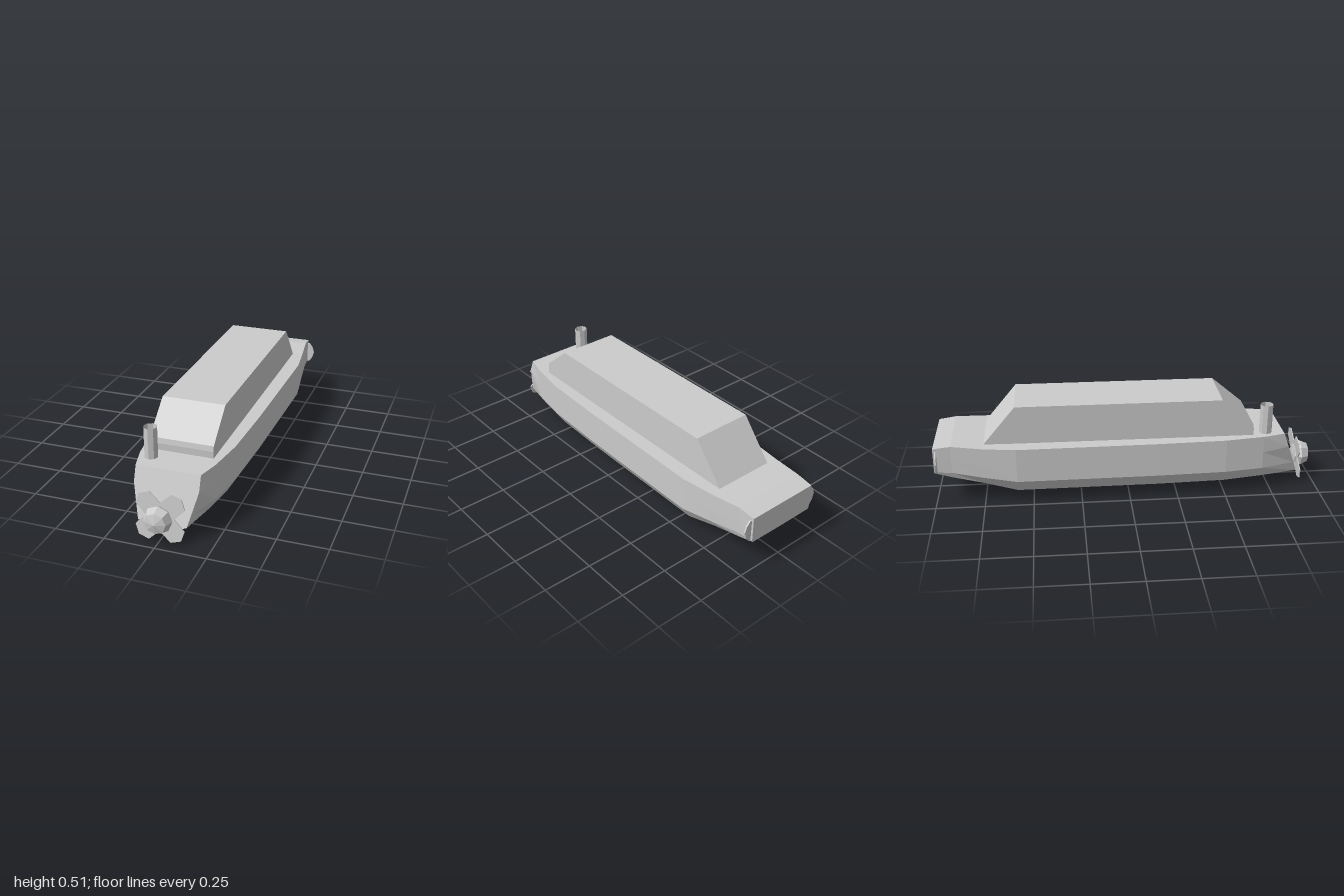
import * as THREE from 'three';

const grey = new THREE.MeshStandardMaterial({ color: 0xcccccc, flatShading: true });
const greyDouble = new THREE.MeshStandardMaterial({ color: 0xcccccc, flatShading: true, side: THREE.DoubleSide });

function add(parent, name, geometry, material = grey) {
  const mesh = new THREE.Mesh(geometry, material);
  mesh.name = name;
  parent.add(mesh);
  return mesh;
}

// Half section at z, from keel to deck edge: [x, y]; slope leans the section with height
function section(z, points, slope = 0) {
  const side = points.map(([x, y]) => [x, y, z + (0.31 - y) * slope]);
  const mirrored = side.slice(1).reverse().map(([x, y, zz]) => [-x, y, zz]);
  return [...side, ...mirrored];
}

const midSection = (z, w, low, keel) =>
  section(z, [[0, keel], [w * 0.81, low], [w, 0.13], [w, 0.22], [w, 0.31]]);

// Skin the sections from bow to stern and close both ends
function loft(rings) {
  const n = rings[0].length, index = [];
  for (let i = 0; i < rings.length - 1; i++) {
    for (let j = 0; j < n; j++) {
      const a = i * n + j, b = i * n + (j + 1) % n;
      index.push(a, a + n, b, b, a + n, b + n);
    }
  }
  const last = (rings.length - 1) * n;
  for (let j = 1; j < n - 1; j++) {
    index.push(0, j, j + 1, last, last + j + 1, last + j);
  }
  const geometry = new THREE.BufferGeometry();
  geometry.setAttribute('position', new THREE.Float32BufferAttribute(rings.flat(2), 3));
  geometry.setIndex(index);
  geometry.computeVertexNormals();
  return geometry;
}

function polygon(points, depth) {
  const shape = new THREE.Shape(points.map(([x, y]) => new THREE.Vector2(x, y)));
  const geometry = new THREE.ExtrudeGeometry(shape, { depth, bevelEnabled: false });
  return geometry.translate(0, 0, -depth / 2);
}

export function createModel() {
  const boat = new THREE.Group();
  boat.name = 'boat';

  // Hull with a raked flat bow and a raised square stern
  add(boat, 'hull', loft([
    section(0.815, [[0, 0.03], [0.12, 0.075], [0.134, 0.13], [0.16, 0.235], [0.16, 0.31]], 0.37),
    midSection(0.7, 0.19, 0.068, 0.02),
    midSection(0.5, 0.218, 0.062, 0.013),
    midSection(0.15, 0.23, 0.06, 0.01),
    midSection(-0.58, 0.238, 0.06, 0.01),
    section(-0.75, [[0, 0.077], [0.185, 0.105], [0.215, 0.15], [0.217, 0.22], [0.217, 0.312]]),
    section(-0.91, [[0, 0.135], [0.185, 0.145], [0.195, 0.175], [0.196, 0.24], [0.196, 0.322]]),
    section(-1, [[0, 0.17], [0.187, 0.172], [0.192, 0.18], [0.192, 0.24], [0.192, 0.31]]),
  ]));

  // Cabin: side profile in (z, y) extruded across the beam
  const cabin = polygon([
    [-0.755, 0.3], [0.648, 0.3], [0.65, 0.345], [0.645, 0.372], [0.48, 0.51], [-0.58, 0.51],
  ], 0.32);
  add(boat, 'cabin', cabin.rotateY(-Math.PI / 2));

  // Open funnel on the foredeck
  add(boat, 'funnel', new THREE.CylinderGeometry(0.034, 0.034, 0.16, 8, 1, true), greyDouble)
    .position.set(-0.123, 0.385, 0.72);

  // Propeller on the bow: faceted hub and four slightly raked blades
  const propeller = new THREE.Group();
  propeller.name = 'propeller';
  propeller.position.set(0, 0.122, 0.922);
  boat.add(propeller);

  const hubProfile = [[0, -0.015], [0.05, -0.008], [0.07, 0.025], [0.053, 0.064], [0, 0.078]];
  const hub = new THREE.LatheGeometry(hubProfile.map(([r, y]) => new THREE.Vector2(r, y)), 8);
  add(propeller, 'hub', hub.rotateX(Math.PI / 2));

  const blades = new THREE.Group();
  blades.name = 'blades';
  blades.rotation.x = -0.095;
  propeller.add(blades);
  const blade = polygon([[0, 0], [0.07, 0], [0.12, 0.053], [0.103, 0.104], [0.053, 0.12], [0, 0.07]], 0.005);
  for (let i = 0; i < 4; i++) {
    add(blades, 'blade', blade).rotation.z = i * Math.PI / 2;
  }

  // Thin fins at the stern corners
  const fin = polygon([[0.18, 0.18], [0.203, 0.18], [0.222, 0.205], [0.232, 0.24],
    [0.222, 0.272], [0.203, 0.295], [0.18, 0.295]], 0.008);
  for (const turn of [0, Math.PI]) {
    const holder = new THREE.Group();
    holder.name = 'sternFin';
    holder.position.z = -0.986;
    holder.rotation.y = turn;
    add(holder, 'fin', fin);
    boat.add(holder);
  }

  return boat;
}
